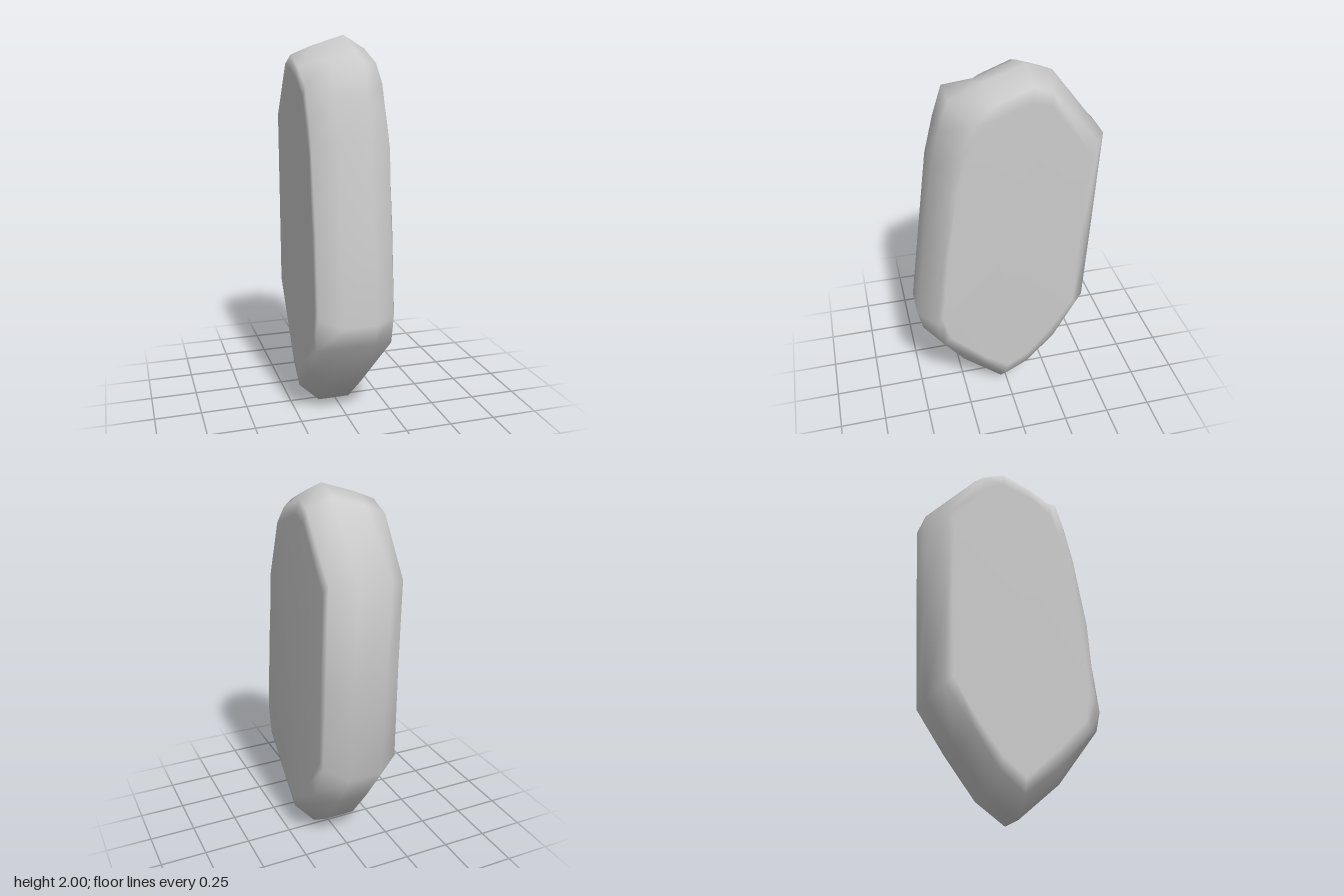
import * as THREE from 'three';

// Each row: z, y of the rim, then z, y of the left-hand (-x) and right-hand (+x) face edges
const OUTLINE = [
  [-0.09, 2.00, -0.10, 1.90, -0.09, 1.93],
  [0.10, 1.93, 0.08, 1.84, 0.08, 1.86],
  [0.28, 1.855, 0.20, 1.76, 0.19, 1.76],
  [0.33, 1.70, 0.27, 1.60, 0.25, 1.62],
  [0.38, 1.50, 0.33, 1.45, 0.30, 1.45],
  [0.44, 1.05, 0.38, 1.05, 0.36, 1.05],
  [0.50, 0.60, 0.42, 0.63, 0.41, 0.60],
  [0.475, 0.49, 0.39, 0.45, 0.37, 0.45],
  [0.25, 0.19, 0.20, 0.25, 0.17, 0.25],
  [0.03, 0.00, 0.03, 0.10, 0.02, 0.14],
  [-0.13, 0.11, -0.10, 0.20, -0.10, 0.21],
  [-0.30, 0.33, -0.24, 0.38, -0.24, 0.38],
  [-0.45, 0.55, -0.38, 0.60, -0.38, 0.60],
  [-0.475, 1.05, -0.40, 1.10, -0.40, 1.05],
  [-0.50, 1.59, -0.41, 1.57, -0.43, 1.60],
  [-0.22, 1.955, -0.20, 1.85, -0.20, 1.90],
];

// Loops from the -x face to the +x face: x, column of OUTLINE, scale about the face centre
const LOOPS = [
  { x: -0.212, column: 2, scale: 0 },
  { x: -0.212, column: 2, scale: 0.92 },
  { x: -0.205, column: 2, scale: 1 },
  { x: -0.095, column: 0, scale: 1, lowerTop: 0.055 },
  { x: 0.08, column: 0, scale: 1 },
  { x: 0.2, column: 4, scale: 1 },
  { x: 0.212, column: 4, scale: 0.92 },
  { x: 0.212, column: 4, scale: 0 },
];

function stoneGeometry() {
  const positions = [];
  const indices = [];
  const n = OUTLINE.length;
  const centreY = 1.05;

  LOOPS.forEach(({ x, column, scale, lowerTop = 0 }, j) => {
    OUTLINE.forEach((row, i) => {
      let z = row[column] * scale;
      let y = centreY + (row[column + 1] - centreY) * scale;
      // the crown slopes down towards -x
      if (row[1] > 1.9) y -= lowerTop;
      // slight chipping along the face edges
      if (j === 2 || j === 5) z += 0.012 * Math.sin(i * 2.3 + j);
      positions.push(x, y, z);
    });
  });

  for (let j = 0; j < LOOPS.length - 1; j++) {
    for (let i = 0; i < n; i++) {
      const next = (i + 1) % n;
      const a = j * n + i, b = j * n + next;
      const c = a + n, d = b + n;
      indices.push(a, b, c, b, d, c);
    }
  }

  const geometry = new THREE.BufferGeometry();
  geometry.setAttribute('position', new THREE.Float32BufferAttribute(positions, 3));
  geometry.setIndex(indices);
  geometry.computeVertexNormals();
  return geometry;
}

export function createModel() {
  const group = new THREE.Group();
  group.name = 'standingStone';
  const stone = new THREE.Mesh(
    stoneGeometry(),
    new THREE.MeshStandardMaterial({ color: 0xcccccc, roughness: 0.9 })
  );
  stone.name = 'stoneSlab';
  group.add(stone);
  return group;
}
